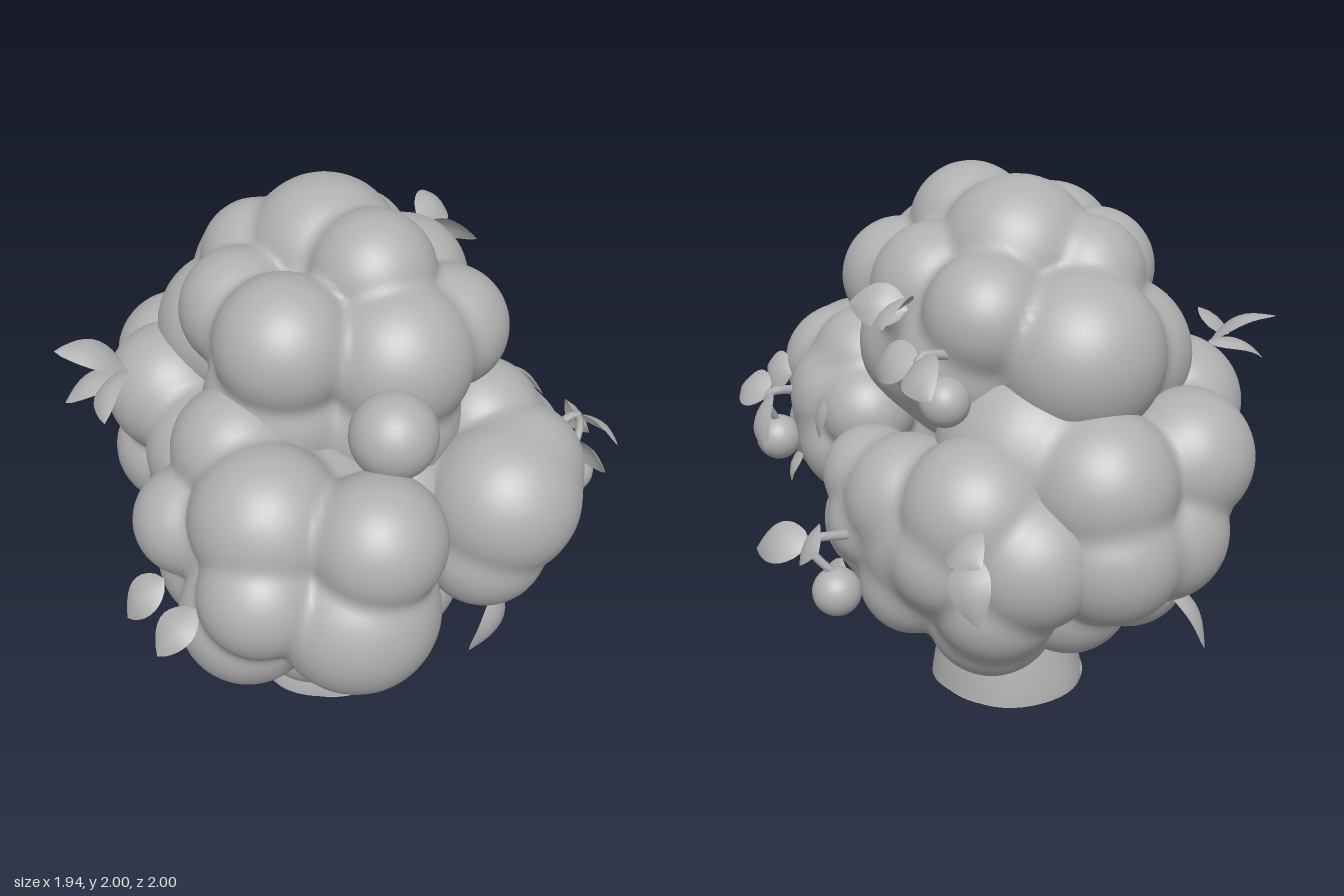
import * as THREE from 'three';
import { mergeVertices } from 'three/addons/utils/BufferGeometryUtils.js';

const V = (x, y, z) => new THREE.Vector3(x, y, z);

// Softly blended skin around a cluster of puffs [x, y, z, radius], found by marching inward to its centre
function blendedPuffs(centre, puffs, blend = 0.03) {
  const distance = (p) => puffs.reduce((d, [x, y, z, r]) => {
    const e = Math.hypot(p.x - x, p.y - y, p.z - z) - r;
    const h = Math.max(blend - Math.abs(d - e), 0) / blend;
    return Math.min(d, e) - h * h * blend / 4;
  }, 10);
  const ball = new THREE.IcosahedronGeometry(1, 30);
  ball.deleteAttribute('normal');
  ball.deleteAttribute('uv');
  const g = mergeVertices(ball), p = g.attributes.position;
  const dir = V(0, 0, 0), q = V(0, 0, 0);
  for (let i = 0; i < p.count; i++) {
    dir.fromBufferAttribute(p, i);
    let t = 1.1;
    for (let step = 0; step < 80; step++) {
      q.copy(centre).addScaledVector(dir, t);
      const d = distance(q);
      if (d < 0.0008 || t < 0.05) break;
      t -= d;
    }
    p.setXYZ(i, q.x, q.y, q.z);
  }
  g.computeVertexNormals();
  return g;
}

export function createModel() {
  const tree = new THREE.Group();
  tree.name = 'cherryTree';
  const grey = new THREE.MeshStandardMaterial({ color: 0xb0b0b0, side: THREE.DoubleSide });
  grey.name = 'plain grey';

  const add = (parent, name, geometry) => {
    const mesh = new THREE.Mesh(geometry, grey);
    mesh.name = name;
    parent.add(mesh);
    return mesh;
  };

  // Trunk: flared rings with soft ridges that twist upward
  const rings = [ // y, centre x, centre z, half width, half depth
    [0, -0.055, 0.015, 0.295, 0.285], [0.04, -0.055, 0.015, 0.29, 0.282],
    [0.1, -0.045, 0.015, 0.272, 0.272], [0.18, -0.04, 0.015, 0.253, 0.255],
    [0.26, -0.037, 0.015, 0.242, 0.237], [0.34, -0.04, 0.015, 0.25, 0.232],
    [0.42, -0.04, 0.01, 0.25, 0.22], [0.52, -0.02, 0, 0.22, 0.175],
    [0.68, 0, 0, 0.18, 0.16], [0.85, 0, 0, 0.16, 0.15],
  ];
  const sides = 48, pos = [], idx = [];
  rings.forEach(([y, cx, cz, rx, rz], j) => {
    for (let i = 0; i < sides; i++) {
      const a = (i / sides) * Math.PI * 2;
      const k = 1 + 0.03 * Math.sin(a * 3 + y * 6) + 0.015 * Math.sin(a * 5 + y * 6);
      pos.push(cx + rx * k * Math.cos(a), y, cz + rz * k * Math.sin(a));
      if (j < rings.length - 1) {
        const p = j * sides + i, q = j * sides + (i + 1) % sides;
        idx.push(p, p + sides, q, q, p + sides, q + sides);
      }
    }
  });
  const trunk = new THREE.BufferGeometry();
  trunk.setAttribute('position', new THREE.Float32BufferAttribute(pos, 3));
  trunk.setIndex(idx);
  trunk.computeVertexNormals();
  add(tree, 'trunk', trunk);
  const base = add(tree, 'trunkBase', new THREE.CircleGeometry(0.287, sides));
  base.rotation.x = Math.PI / 2;
  base.position.set(-0.055, 0.001, 0.015);

  // Tapered round limb along a curve
  const limb = (parent, name, points, r0, r1, n = 16, radial = 14) => {
    const curve = new THREE.CatmullRomCurve3(points);
    const g = new THREE.TubeGeometry(curve, n, 1, radial, false);
    const p = g.attributes.position;
    for (let i = 0; i < p.count; i++) {
      const t = Math.floor(i / (radial + 1)) / n;
      const c = curve.getPointAt(t), v = V(0, 0, 0).fromBufferAttribute(p, i);
      v.sub(c).multiplyScalar(r0 + (r1 - r0) * t).add(c);
      p.setXYZ(i, v.x, v.y, v.z);
    }
    g.computeVertexNormals();
    return add(parent, name, g);
  };
  limb(tree, 'frontBranch', [V(0, 0.18, 0.07), V(0.03, 0.38, 0.14), V(0.08, 0.6, 0.28), V(0.12, 0.8, 0.4)], 0.12, 0.06);
  limb(tree, 'backBranch', [V(0, 0.2, -0.03), V(0.1, 0.38, -0.13), V(0.24, 0.54, -0.28), V(0.36, 0.75, -0.4)], 0.13, 0.05);
  limb(tree, 'sideBranch', [V(-0.08, 0.2, 0), V(-0.17, 0.45, 0.04), V(-0.3, 0.7, 0.1)], 0.14, 0.1);

  // Foliage: each cluster has a centre and its puffs
  const foliage = {
    crown: [V(-0.02, 1.48, 0), [
      [0, 1.73, -0.14, 0.27], [0.04, 1.78, 0.14, 0.215], [-0.31, 1.64, 0.2, 0.235],
      [0.03, 1.575, 0.33, 0.26], [0.26, 1.585, 0.26, 0.21], [0.25, 1.62, -0.03, 0.225],
      [-0.34, 1.63, -0.08, 0.21], [-0.06, 1.47, -0.48, 0.285], [0.21, 1.6, -0.34, 0.21],
      [-0.27, 1.4, -0.34, 0.27], [0.22, 1.42, -0.23, 0.25], [0.21, 1.38, 0.1, 0.26],
      [-0.3, 1.38, 0.15, 0.27], [-0.18, 1.68, -0.3, 0.2], [0.02, 1.42, 0, 0.42],
      [0, 1.33, 0.28, 0.28],
    ]],
    frontRightPuffs: [V(-0.38, 0.95, 0.45), [
      [-0.25, 1.21, 0.75, 0.225], [-0.31, 0.92, 0.72, 0.28], [-0.52, 1.21, 0.5, 0.255],
      [-0.6, 0.83, 0.5, 0.235], [-0.69, 1.08, 0.24, 0.19], [-0.6, 1.02, 0.62, 0.21],
      [-0.32, 0.57, 0.4, 0.205], [-0.12, 0.69, 0.4, 0.23], [0.03, 0.67, 0.4, 0.21],
      [-0.55, 0.83, 0.2, 0.24], [-0.35, 0.98, 0.4, 0.38], [-0.5, 1.3, 0.22, 0.22],
      [-0.02, 1.1, 0.45, 0.2], [-0.28, 0.68, 0.15, 0.24],
    ]],
    frontLeftPuffs: [V(0.33, 1.05, 0.43), [
      [0.28, 1.12, 0.645, 0.265], [0.22, 0.94, 0.64, 0.22], [0.43, 1.12, 0.38, 0.22],
      [0.35, 1.24, 0.36, 0.215], [0.4, 0.93, 0.55, 0.21], [0.44, 0.96, 0.32, 0.2],
      [0.35, 1.0, 0.4, 0.28], [0.38, 1.17, 0.58, 0.22], [0.43, 1.12, 0.2, 0.17],
      [0.3, 0.9, 0.3, 0.19], [0.14, 1.06, 0.42, 0.24],
    ]],
    backLeftPuffs: [V(0.36, 0.86, -0.38), [
      [0.48, 0.99, -0.3, 0.22], [0.48, 0.81, -0.06, 0.21], [0.48, 0.7, -0.33, 0.19],
      [0.35, 1.02, -0.55, 0.25], [0.22, 0.88, -0.68, 0.24], [0.27, 0.61, -0.5, 0.225],
      [0.44, 0.87, -0.53, 0.2], [0.56, 0.88, -0.2, 0.17], [0.54, 1.02, -0.12, 0.17],
      [0.36, 0.86, -0.35, 0.31], [0.45, 0.68, -0.12, 0.17], [0.3, 0.72, -0.6, 0.22],
    ]],
    backPuffs: [V(-0.22, 0.95, -0.4), [
      [-0.03, 1.1, -0.7, 0.255], [-0.04, 0.88, -0.75, 0.245], [-0.37, 1.12, -0.66, 0.235],
      [-0.26, 0.88, -0.69, 0.24], [-0.51, 1.19, -0.36, 0.24], [-0.47, 1.08, -0.08, 0.24],
      [-0.5, 0.88, -0.42, 0.22], [-0.52, 0.87, -0.1, 0.2], [-0.26, 0.66, -0.5, 0.22],
      [0.02, 0.67, -0.58, 0.22], [-0.38, 0.7, -0.22, 0.22], [-0.2, 0.95, -0.35, 0.42],
      [-0.4, 0.95, -0.05, 0.3], [0.08, 1.13, -0.42, 0.33],
    ]],
  };
  for (const [name, [centre, puffs]] of Object.entries(foliage)) {
    add(tree, name, blendedPuffs(centre, puffs));
  }

  // Plain ball, used for the small loose puff and the fruit
  const ballGeometry = new THREE.SphereGeometry(1, 30, 20);
  const ball = (parent, name, centre, radius) => {
    const m = add(parent, name, ballGeometry);
    m.position.copy(centre);
    m.scale.setScalar(radius);
  };
  ball(tree, 'smallPuff', V(-0.12, 1.48, 0.6), 0.145);

  // Leaf: pointed strip from base to tip, arched and cupped, facing outward and upward by lift
  const leaf = (parent, a, b, lift = 0.3, width = 0.075) => {
    const A = V(...a), B = V(...b), dir = B.clone().sub(A);
    const out = V(A.x + B.x, 0, 0.5 * (A.z + B.z)).normalize().setY(lift);
    const side = dir.clone().cross(out).normalize();
    const up = side.clone().cross(dir).normalize();
    const g = new THREE.PlaneGeometry(2, 1, 4, 10), p = g.attributes.position;
    for (let i = 0; i < p.count; i++) {
      const s = p.getX(i), t = p.getY(i) + 0.5;
      const w = width * Math.pow(Math.max(Math.sin(Math.PI * Math.pow(t, 0.85)), 0), 0.8);
      const v = A.clone().addScaledVector(dir, t).addScaledVector(side, s * w)
        .addScaledVector(up, 0.18 * dir.length() * Math.sin(Math.PI * t) - 0.25 * w * s * s);
      p.setXYZ(i, v.x, v.y, v.z);
    }
    g.computeVertexNormals();
    add(parent, 'leaf', g);
  };

  // Cherries: fruit centre, top of the stem, then leaf tips around it
  const cherries = [
    [[0.69, 0.96, 0.46], [0.73, 1.16, 0.41], [[0.78, 1.13, 0.6], [0.8, 1.0, 0.27]]],
    [[0.77, 0.73, -0.355], [0.84, 0.91, -0.31], [[0.97, 0.83, -0.13], [0.87, 0.96, -0.49]]],
    [[0.42, 1.385, -0.47], [0.49, 1.53, -0.43], [[0.54, 1.46, -0.63], [0.57, 1.44, -0.25]]],
  ];
  for (const [c, top, tips] of cherries) {
    const cherry = new THREE.Group();
    cherry.name = 'cherry';
    tree.add(cherry);
    const C = V(...c), T = V(...top);
    ball(cherry, 'fruit', C, 0.083);
    limb(cherry, 'stem', [C.clone().add(V(0, 0.06, 0)), C.clone().lerp(T, 0.7).add(V(0.02, 0.02, 0)),
      T, V(T.x - 0.15, T.y - 0.02, T.z + 0.03)], 0.013, 0.018, 12, 8);
    tips.forEach((tip) => leaf(cherry, top, tip, 0.7));
  }

  // Loose leaves scattered over the foliage: base, tip and lift
  const leaves = new THREE.Group();
  leaves.name = 'looseLeaves';
  tree.add(leaves);
  [
    [[0.46, 1.64, -0.28], [0.6, 1.64, -0.12], 0.6], [[0.46, 1.66, -0.28], [0.62, 1.65, -0.46], 0.6],
    [[0.6, 1.1, 0.2], [0.64, 1.2, 0.04]], [[0.6, 1.16, 0.55], [0.64, 1.15, 0.72]],
    [[0.58, 0.87, 0.5], [0.61, 0.72, 0.58]], [[0.68, 0.74, -0.16], [0.71, 0.55, -0.16]],
    [[0.48, 1.02, -0.68], [0.49, 1.0, -0.88], 0.8], [[0.46, 0.98, -0.72], [0.48, 0.77, -0.84]],
    [[-0.7, 1.37, -0.3], [-0.92, 1.45, -0.38], 1.2], [[-0.7, 1.35, -0.28], [-0.92, 1.27, -0.32], 1.2],
    [[-0.72, 1.4, -0.25], [-0.86, 1.33, -0.06], 1],
    [[-0.84, 0.98, 0.37], [-0.97, 0.83, 0.34], 0.6], [[-0.8, 0.98, 0.55], [-0.95, 0.85, 0.57], 0.6],
    [[0.28, 0.74, 0.68], [0.14, 0.52, 0.72]], [[-0.33, 0.64, -0.6], [-0.44, 0.4, -0.75]],
  ].forEach(([a, b, lift]) => leaf(leaves, a, b, lift));

  return tree;
}
